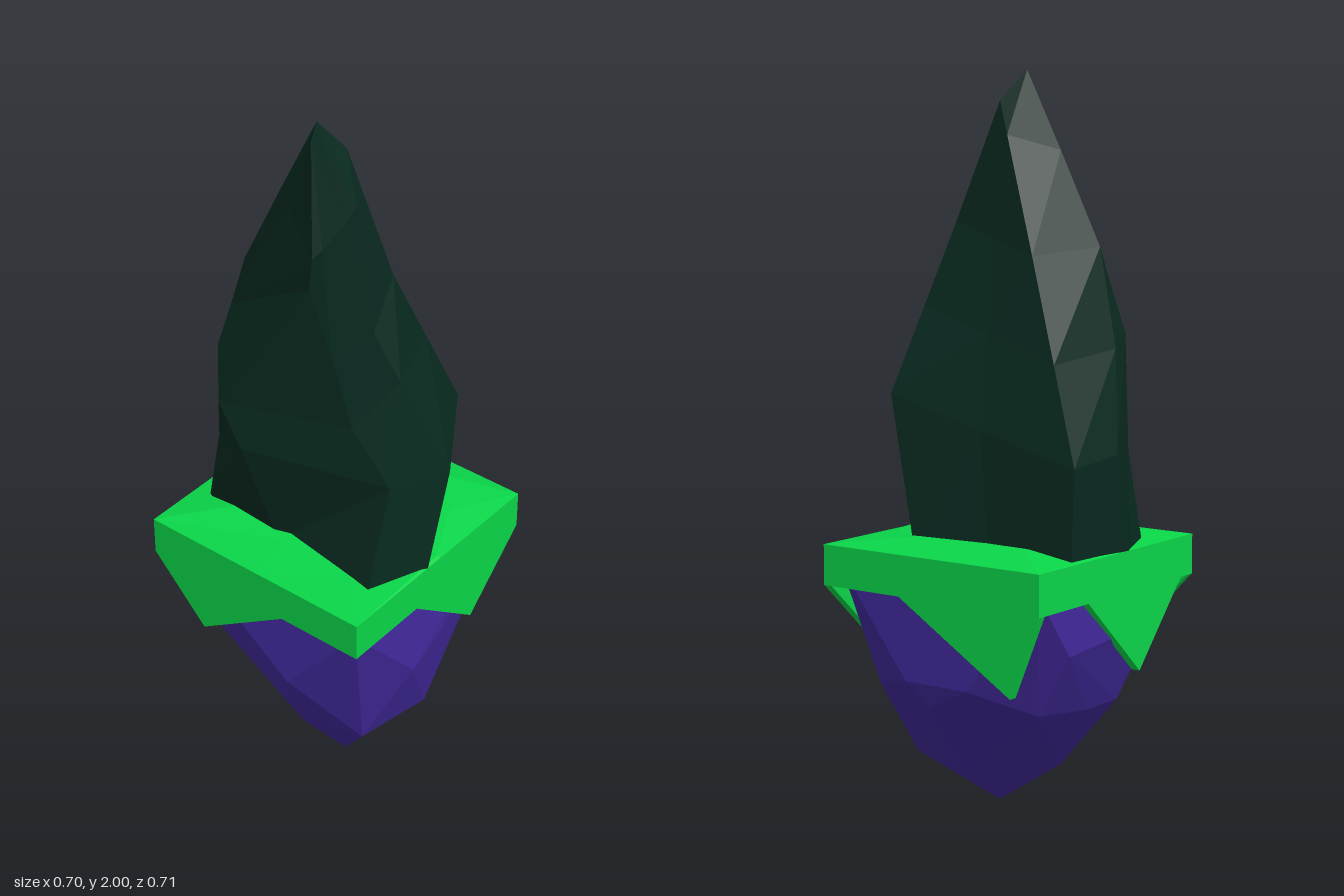
import * as THREE from 'three';
import { ConvexGeometry } from 'three/addons/geometries/ConvexGeometry.js';

const material = (color) =>
  new THREE.MeshStandardMaterial({ color, flatShading: true });

function addMesh(group, name, geometry, mat) {
  const mesh = new THREE.Mesh(geometry, mat);
  mesh.name = name;
  group.add(mesh);
  return mesh;
}

// Skin of facets joining rings of equal point count, listed bottom to top
function loft(rings) {
  const positions = [];
  for (let i = 0; i < rings.length - 1; i++) {
    const low = rings[i], high = rings[i + 1], n = low.length;
    for (let j = 0; j < n; j++) {
      const k = (j + 1) % n;
      positions.push(...low[j], ...high[j], ...low[k]);
      positions.push(...low[k], ...high[j], ...high[k]);
    }
  }
  const geometry = new THREE.BufferGeometry();
  geometry.setAttribute('position', new THREE.Float32BufferAttribute(positions, 3));
  geometry.computeVertexNormals();
  return geometry;
}

const point = (x, y, z, count = 8) => Array(count).fill([x, y, z]);

// Rings run from +x round by the front (+z), -x and the flat sloping back
const SPIRE = [
  [[.35, .74, .06], [.285, .74, .235], [-.05, .74, .19], [-.305, .74, .18],
    [-.35, .74, .05], [-.335, .74, -.195], [-.08, .74, -.205], [.13, .74, -.245]],
  [[.35, 1.03, -.03], [.283, 1.04, .135], [-.1, 1.07, .275], [-.25, 1, .19],
    [-.35, 1.02, -.01], [-.34, 1, -.19], [-.04, 1.075, -.185], [.26, 1.15, -.18]],
  [[.26, 1.33, .07], [.18, 1.2, .165], [-.16, 1.2, .287], [-.225, 1.31, .21],
    [-.275, 1.28, .09], [-.23, 1.25, -.125], [0, 1.315, -.1], [.228, 1.38, -.075]],
  [[.205, 1.47, .11], [.138, 1.42, .193], [.09, 1.61, .22], [-.212, 1.42, .168],
    [-.2, 1.54, .125], [-.11, 1.52, -.054], [.043, 1.56, -.015], [.197, 1.6, .025]],
  [[.15, 1.79, .155], [.115, 1.72, .2], [.1, 1.7, .22], [-.03, 1.76, .152],
    [-.08, 1.79, .116], [.03, 1.83, .027], [.07, 1.92, .05], [.165, 1.83, .13]],
  [...point(.05, 1.98, .16, 3), ...point(.022, 2, .105, 5)],
];

// Underside rock corners
const ROOT = [
  [.32, .68, .32], [.32, .7, -.32], [-.32, .7, .32], [-.32, .7, -.32],
  [.285, .46, .265], [.11, .43, .35], [.345, .43, .1], [-.02, .46, .335], [.335, .47, -.03],
  [-.15, .45, .31], [-.335, .55, .2], [-.335, .52, -.2], [-.28, .42, .17], [-.25, .33, .14],
  [-.25, .33, 0], [-.24, .35, -.2], [.08, .2, .25], [.25, .2, .2], [.26, .15, -.07],
  [-.09, .13, .11], [.1, .13, -.08], [.11, 0, .1], [.04, .35, -.3], [.27, .37, -.22],
  [-.1, .42, -.325], [.1, .42, -.325],
];

// Gentle rise of the turf around the spire
const TURF_RISE = [
  [.34, .765, 0], [.22, .77, .21], [0, .775, .21], [-.2, .785, .2],
  [-.34, .765, 0], [-.2, .785, -.21], [.12, .79, -.25], [.26, .78, -.16],
];

export function createModel() {
  const model = new THREE.Group();
  model.name = 'floatingRock';
  const grass = material(0x0ad548);

  // Tall crag
  addMesh(model, 'spire', loft(SPIRE), material(0x08291f));

  // Hanging rock below the turf
  const root = new ConvexGeometry(ROOT.map((p) => new THREE.Vector3(...p)));
  addMesh(model, 'hangingRock', root, material(0x412899));

  // Turf slab with a slightly raised top
  const square = (y) => [[1, 0], [1, 1], [0, 1], [-1, 1], [-1, 0], [-1, -1], [0, -1], [1, -1]]
    .map(([x, z]) => [x * .35, y, z * .355]);
  addMesh(model, 'turfSlab', loft([
    point(0, .65, 0), square(.65), square(.76), TURF_RISE, point(0, .78, 0),
  ]), grass);

  // Pointed turf flaps: start, tip, end along the side, tip height, turn, distance
  const flaps = [
    ['frontFlap', -.35, -.18, .1, .47, 0, .355],
    ['leftFlap', -.1, .15, .355, .46, Math.PI / 2, .35],
    ['backFlap', -.1, .26, .35, .43, Math.PI, .355],
    ['rightFlap', -.14, .1, .3, .43, -Math.PI / 2, .35],
  ];
  for (const [name, start, tip, end, tipY, turn, distance] of flaps) {
    const shape = new THREE.Shape([
      new THREE.Vector2(start, .651), new THREE.Vector2(tip, tipY), new THREE.Vector2(end, .651),
    ]);
    const geometry = new THREE.ExtrudeGeometry(shape, { depth: .025, bevelEnabled: false });
    geometry.translate(0, 0, distance - .025);
    addMesh(model, name, geometry, grass).rotation.y = turn;
  }
  return model;
}
